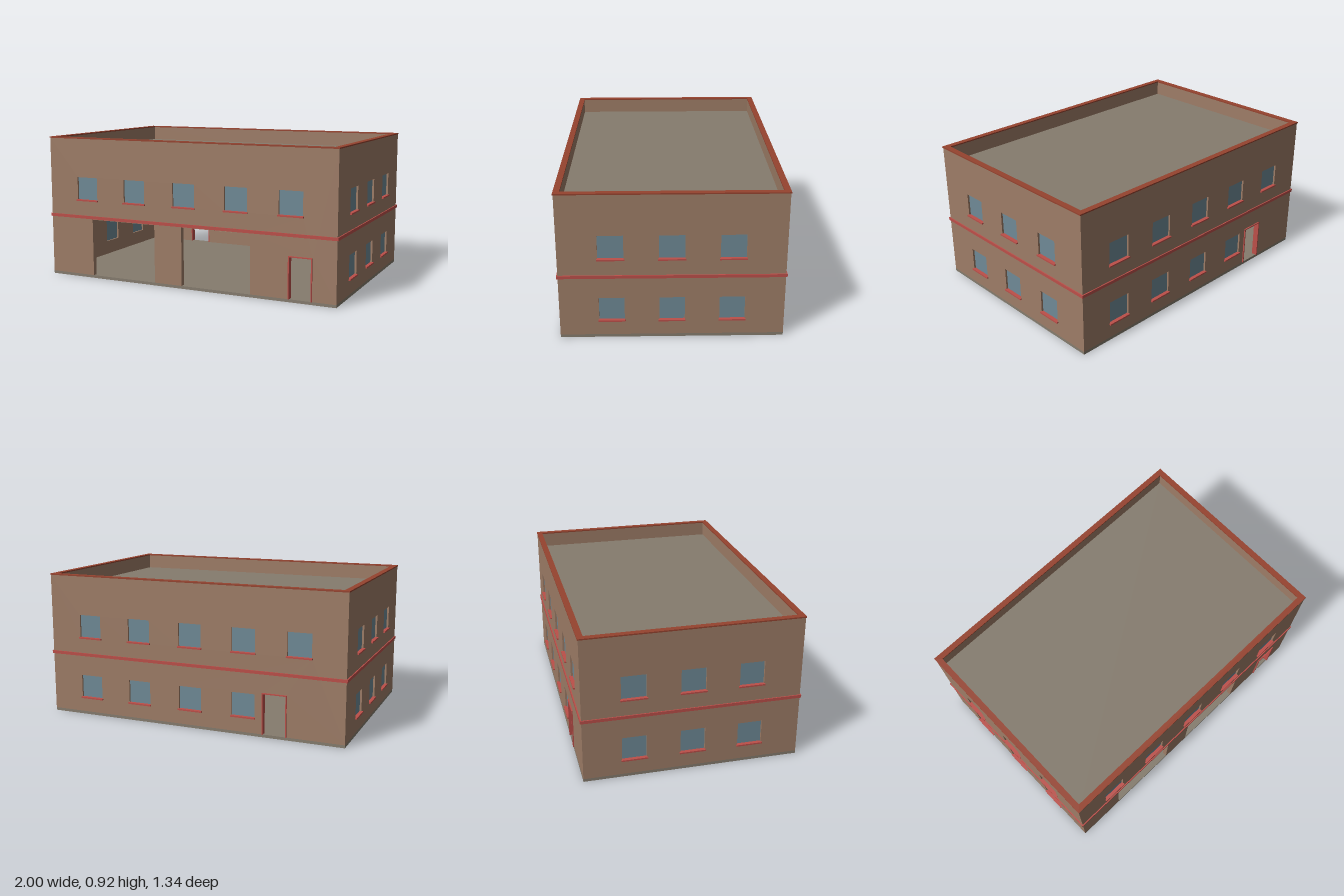
import * as THREE from 'three';

const material = (name, color) => {
  const m = new THREE.MeshStandardMaterial({ color });
  m.name = name;
  return m;
};

const W = 0.989, D = 0.66;         // half width and half depth of the walls
const T = 0.03;                    // wall thickness
const BASE = 0.018, TOP = 0.91;    // bottom and top of the walls
const WIN = 0.15, SILLS = [0.112, 0.51];

export function createModel() {
  const brick = material('brick brown', 0x9e7d67);
  const concrete = material('concrete grey', 0x857c6e);
  const glass = material('window blue', 0x6f8a96);
  const trim = material('trim red', 0xbc4f49);
  const coping = material('coping red', 0x96432f);

  const building = new THREE.Group();
  building.name = 'building';

  function box(parent, name, mat, w, h, d, x, y, z) {
    const mesh = new THREE.Mesh(new THREE.BoxGeometry(w, h, d), mat);
    mesh.name = name;
    mesh.position.set(x, y, z);
    parent.add(mesh);
    return mesh;
  }

  // Rectangular ring lying flat, given its outer and inner half sizes
  function ring(name, mat, ow, od, iw, id, y, h) {
    const rect = (Kind, a, b) => {
      const r = new Kind();
      r.moveTo(-a, -b).lineTo(a, -b).lineTo(a, b).lineTo(-a, b).closePath();
      return r;
    };
    const shape = rect(THREE.Shape, ow, od);
    shape.holes.push(rect(THREE.Path, iw, id));
    const geo = new THREE.ExtrudeGeometry(shape, { depth: h, bevelEnabled: false });
    geo.rotateX(-Math.PI / 2);
    const mesh = new THREE.Mesh(geo, mat);
    mesh.name = name;
    mesh.position.y = y;
    building.add(mesh);
  }

  // One wall in its own frame: local +z points outwards, z = 0 is the outer face.
  // openings: { x0, x1, top, framed } cut up from the floor; windows: [x, sill y]
  function wall(name, half, distance, angle, windows, openings = []) {
    const group = new THREE.Group();
    group.name = name;
    group.rotation.y = angle;
    group.position.set(Math.sin(angle) * distance, 0, Math.cos(angle) * distance);

    const shape = new THREE.Shape();
    shape.moveTo(-half, BASE);
    for (const { x0, x1, top } of openings) {
      shape.lineTo(x0, BASE).lineTo(x0, top).lineTo(x1, top).lineTo(x1, BASE);
    }
    shape.lineTo(half, BASE).lineTo(half, TOP).lineTo(-half, TOP).closePath();

    for (const [x, y] of windows) {
      const a = x - WIN / 2, b = x + WIN / 2;
      const hole = new THREE.Path();
      hole.moveTo(a, y).lineTo(a, y + WIN).lineTo(b, y + WIN).lineTo(b, y).closePath();
      shape.holes.push(hole);
      box(group, 'windowPane', glass, WIN, WIN, 0.006, x, y + WIN / 2, -T / 2);
      box(group, 'windowSill', trim, 0.16, 0.009, 0.026, x, y, -0.002);
    }

    const geo = new THREE.ExtrudeGeometry(shape, { depth: T, bevelEnabled: false });
    const mesh = new THREE.Mesh(geo.translate(0, 0, -T), brick);
    mesh.name = name + 'Masonry';
    group.add(mesh);

    // Door lining, standing slightly proud of the wall
    for (const { x0, x1, top, framed } of openings) {
      if (!framed) continue;
      const f = 0.007, depth = T + 0.008, h = top - BASE;
      for (const x of [x0 + f / 2, x1 - f / 2]) {
        box(group, 'doorJamb', trim, f, h, depth, x, BASE + h / 2, 0.008 - depth / 2);
      }
      box(group, 'doorHead', trim, x1 - x0, f, depth, (x0 + x1) / 2, top - f / 2, 0.008 - depth / 2);
    }
    building.add(group);
  }

  const longRow = [-0.705, -0.353, 0, 0.353, 0.705];
  const shortRow = [-0.353, 0, 0.353];
  const [lower, upper] = SILLS;

  // Walls
  wall('frontWall', W, D, 0, longRow.map(x => [x, upper]), [
    { x0: -0.67, x1: -0.207, top: 0.387 },
    { x0: -0.015, x1: 0.45, top: 0.387 },
    { x0: 0.693, x1: 0.842, top: 0.277, framed: true },
  ]);
  wall('backWall', W, D, Math.PI, [
    ...longRow.map(x => [x, upper]),
    ...longRow.slice(0, 4).map(x => [x, lower]),
  ], [{ x0: 0.476, x1: 0.632, top: 0.277, framed: true }]);
  const sideWindows = SILLS.flatMap(y => shortRow.map(x => [x, y]));
  wall('leftWall', D - T, W, Math.PI / 2, sideWindows);
  wall('rightWall', D - T, W, -Math.PI / 2, sideWindows);

  // Slabs
  box(building, 'groundSlab', concrete, 2 * W, BASE, 2 * D, 0, BASE / 2, 0);
  box(building, 'upperFloor', concrete, 2 * (W - T), 0.02, 2 * (D - T), 0, 0.4, 0);
  box(building, 'roofDeck', concrete, 2 * (W - T), 0.02, 2 * (D - T), 0, 0.805, 0);

  // String course and parapet coping
  ring('stringCourse', trim, W + 0.007, D + 0.007, W - 0.005, D - 0.005, 0.391, 0.019);
  ring('parapetCoping', coping, W + 0.004, D + 0.004, W - T - 0.003, D - T - 0.003, TOP, 0.008);

  return building;
}
